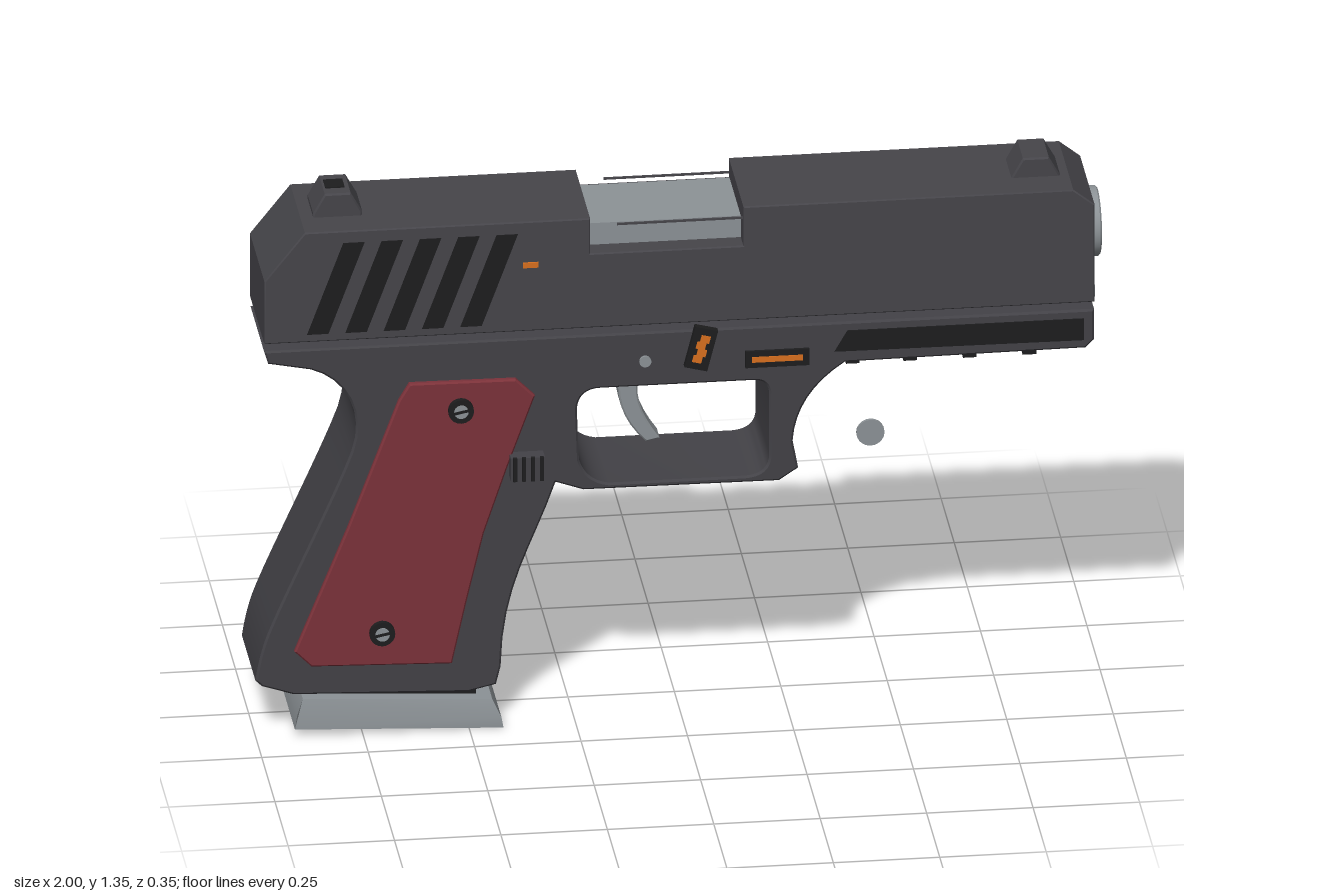
import * as THREE from 'three';
import { toCreasedNormals } from 'three/addons/utils/BufferGeometryUtils.js';

const mat = (name, color) => {
  const m = new THREE.MeshStandardMaterial({ color });
  m.name = name;
  return m;
};

export function createModel() {
  const root = new THREE.Group();
  const slideGrey = mat('slide grey', 0x46454a);
  const frameGrey = mat('frame grey', 0x434247);
  const red = mat('grip red', 0x7c323a);
  const steel = mat('light steel', 0x8d9397);
  const black = mat('black', 0x1d1d1e);
  const orange = mat('orange', 0xd8701e);

  const add = (name, geo, material, x = 0, y = 0, z = 0) => {
    const mesh = new THREE.Mesh(geo, material);
    mesh.name = name;
    mesh.position.set(x, y, z);
    root.add(mesh);
    return mesh;
  };
  const box = (name, m, w, h, d, x, y, z) => add(name, new THREE.BoxGeometry(w, h, d), m, x, y, z);
  const outline = pts => new THREE.Shape(pts.map(p => new THREE.Vector2(p[0], p[1])));
  // Side profile extruded between two z values, with an optional small bevel
  const plate = (name, m, shape, z0, z1, bevel = 0) => {
    const g = new THREE.ExtrudeGeometry(Array.isArray(shape) ? outline(shape) : shape, {
      depth: z1 - z0 - 2 * bevel, bevelEnabled: bevel > 0, bevelSize: bevel,
      bevelThickness: bevel, bevelOffset: -bevel, bevelSegments: 1, curveSegments: 8,
    });
    g.translate(0, 0, z0 + bevel);
    return add(name, toCreasedNormals(g, 0.5), m);
  };
  const disc = (name, m, r, depth, x, y, z) => {
    const mesh = add(name, new THREE.CylinderGeometry(r, r, depth, 20), m, x, y, z);
    mesh.rotation.x = Math.PI / 2;
    return mesh;
  };

  // Slide with the ejection port cut into its top
  plate('slide', slideGrey, [
    [-0.98, 1.01], [0.97, 1.01], [0.97, 1.26], [0.92, 1.3], [0.145, 1.3], [0.145, 1.2],
    [-0.215, 1.2], [-0.215, 1.29], [-0.885, 1.29], [-0.98, 1.17],
  ], -0.14, 0.14, 0.003);
  box('portWall', slideGrey, 0.36, 0.05, 0.015, -0.035, 1.225, -0.132);
  box('chamber', steel, 0.36, 0.056, 0.215, -0.035, 1.227, -0.018);
  for (const z of [-0.132, 0.125]) box('portEdge', slideGrey, 0.295, 0.005, 0.004, -0.0025, 1.266, z);

  // Sights
  const sight = (name, x0, x1) => plate(name, slideGrey,
    [[x0, 1.285], [x1, 1.285], [x1, 1.3], [x1 - 0.027, 1.348], [x0 + 0.027, 1.348], [x0, 1.3]], -0.056, 0.056, 0.004);
  sight('rearSight', -0.855, -0.74);
  sight('frontSight', 0.785, 0.9);
  box('rearSightNotch', black, 0.045, 0.006, 0.045, -0.8, 1.348, 0);

  // Rings facing forward: barrel muzzle and guide rod
  const ring = (name, inner, outer, x0, x1, y) => {
    const profile = [[inner, x0], [outer, x0], [outer, x1 - 0.004], [outer - 0.004, x1], [inner, x1], [inner, x0]];
    const g = new THREE.LatheGeometry(profile.map(p => new THREE.Vector2(...p)), 32);
    g.rotateZ(-Math.PI / 2);
    add(name, toCreasedNormals(g, 0.5), steel, 0, y, 0);
    const hole = add(name + 'Bore', new THREE.CircleGeometry(inner, 32), black, 0.973, y, 0);
    hole.rotation.y = Math.PI / 2;
  };
  ring('muzzle', 0.065, 0.083, 0.95, 0.995, 1.155);
  ring('guideRod', 0.022, 0.03, 0.96, 0.985, 0.985);

  // Frame: dust cover, trigger guard and grip in one profile
  const frame = new THREE.Shape();
  frame.moveTo(-0.98, 0.988);
  frame.lineTo(-0.97, 0.955);
  frame.lineTo(-0.87, 0.935);
  frame.bezierCurveTo(-0.79, 0.91, -0.74, 0.82, -0.775, 0.72);
  frame.bezierCurveTo(-0.81, 0.62, -0.93, 0.37, -0.965, 0.28);
  frame.quadraticCurveTo(-0.99, 0.22, -1.0, 0.145);
  frame.lineTo(-0.985, 0.13);
  frame.lineTo(-0.91, 0.105);
  frame.lineTo(-0.5, 0.09);
  frame.lineTo(-0.435, 0.105);
  frame.lineTo(-0.424, 0.15);
  frame.bezierCurveTo(-0.42, 0.36, -0.35, 0.45, -0.295, 0.615);
  frame.lineTo(-0.23, 0.592);
  frame.lineTo(0.23, 0.59);
  frame.lineTo(0.275, 0.62);
  frame.lineTo(0.262, 0.69);
  frame.quadraticCurveTo(0.27, 0.81, 0.385, 0.885);
  frame.lineTo(0.95, 0.89);
  frame.lineTo(0.97, 0.91);
  frame.lineTo(0.97, 0.988);
  const guard = new THREE.Path();
  guard.moveTo(-0.245, 0.8);
  guard.quadraticCurveTo(-0.24, 0.85, -0.19, 0.85);
  guard.lineTo(0.17, 0.85);
  guard.quadraticCurveTo(0.207, 0.85, 0.207, 0.81);
  guard.lineTo(0.207, 0.66);
  guard.quadraticCurveTo(0.207, 0.608, 0.15, 0.606);
  guard.lineTo(-0.17, 0.606);
  guard.quadraticCurveTo(-0.225, 0.615, -0.24, 0.67);
  frame.holes.push(guard);
  plate('frame', frameGrey, frame, -0.133, 0.133, 0.005);

  // Trigger
  const trigger = new THREE.Shape();
  trigger.moveTo(-0.13, 0.86);
  trigger.bezierCurveTo(-0.145, 0.78, -0.13, 0.72, -0.07, 0.66);
  trigger.lineTo(-0.038, 0.668);
  trigger.bezierCurveTo(-0.09, 0.74, -0.1, 0.79, -0.083, 0.86);
  plate('trigger', steel, trigger, -0.03, 0.03, 0.004);

  // Magazine base, narrowed towards its top
  const base = plate('magazineBase', steel,
    [[-0.91, 0.025], [-0.42, 0.003], [-0.425, 0.03], [-0.445, 0.072], [-0.89, 0.097], [-0.905, 0.06]], -0.152, 0.152);
  const bp = base.geometry.attributes.position;
  for (let i = 0; i < bp.count; i++) if (bp.getY(i) > 0.065) bp.setZ(i, bp.getZ(i) * 0.92);
  base.geometry = toCreasedNormals(base.geometry, 0.3);
  plate('magazine', black, [[-0.84, 0.08], [-0.48, 0.06], [-0.48, 0.11], [-0.84, 0.12]], -0.11, 0.11);

  // Details repeated on both sides
  for (const s of [1, -1]) {
    const sidePlate = (name, m, pts, z0, z1, bevel) =>
      s > 0 ? plate(name, m, pts, z0, z1, bevel) : plate(name, m, pts, -z1, -z0, bevel);

    // Grip panel and its slotted screws
    sidePlate('gripPanel', red, [
      [-0.87, 0.18], [-0.54, 0.17], [-0.505, 0.33], [-0.465, 0.5], [-0.41, 0.665],
      [-0.345, 0.845], [-0.39, 0.89], [-0.64, 0.892], [-0.665, 0.85], [-0.785, 0.53], [-0.91, 0.22],
    ], 0.125, 0.146, 0.004);
    for (const [x, y] of [[-0.52, 0.82], [-0.705, 0.26]]) {
      disc('screw', black, 0.03, 0.02, x, y, s * 0.149);
      disc('screwHead', steel, 0.017, 0.004, x, y, s * 0.159);
      box('screwSlot', black, 0.034, 0.007, 0.004, x, y, s * 0.16).rotation.z = 0.2;
    }

    // Ribbed magazine release
    box('magazineRelease', frameGrey, 0.08, 0.058, 0.04, -0.365, 0.67, s * 0.15);
    for (let i = 0; i < 4; i++) {
      box('releaseRib', black, 0.009, 0.06, 0.008, -0.395 + i * 0.021, 0.67, s * 0.17);
    }

    // Slanted slide serrations
    for (let i = 0; i < 5; i++) {
      const x = -0.88 + i * 0.09;
      sidePlate('serration', black, [[x, 1.03], [x + 0.05, 1.03], [x + 0.135, 1.26], [x + 0.085, 1.26]], 0.137, 0.142);
    }

    // Rail inlay, accent plate and trigger pin
    sidePlate('railInlay', black, [[0.36, 0.915], [0.945, 0.912], [0.945, 0.967], [0.39, 0.967]], 0.13, 0.136);
    box('accentPlate', black, 0.15, 0.042, 0.01, 0.225, 0.907, s * 0.135);
    box('accentStripe', orange, 0.12, 0.014, 0.006, 0.225, 0.907, s * 0.139);
    disc('triggerPin', steel, 0.014, 0.012, -0.085, 0.915, s * 0.133);
  }

  // Rail teeth under the dust cover
  for (const x of [0.405, 0.54, 0.68, 0.82]) box('railTooth', black, 0.032, 0.022, 0.23, x, 0.884, 0);

  // Left-face marks: slide indicator and takedown lever
  box('slideIndicator', orange, 0.036, 0.013, 0.008, -0.355, 1.18, 0.141);
  const lever = new THREE.Group();
  lever.name = 'takedownLever';
  lever.position.set(0.045, 0.945, 0.14);
  lever.rotation.z = -0.25;
  lever.add(box('leverPlate', black, 0.055, 0.105, 0.018, 0, 0, 0));
  for (let i = 0; i < 4; i++) {
    lever.add(box('leverMark', orange, 0.022, 0.018, 0.005, i % 2 ? 0.003 : -0.003, -0.026 + i * 0.0175, 0.009));
  }
  root.add(lever);

  // Right-face controls: slide stop and safety
  plate('slideStop', frameGrey,
    [[-0.08, 0.925], [0.03, 0.93], [0.25, 0.945], [0.31, 0.965], [0.31, 0.985], [-0.06, 0.98], [-0.08, 0.965]], -0.152, -0.13, 0.003);
  plate('safetyLever', frameGrey,
    [[-0.8, 0.945], [-0.75, 0.93], [-0.62, 0.94], [-0.59, 0.96], [-0.6, 0.975], [-0.78, 0.975]], -0.15, -0.13, 0.003);
  disc('safetyPin', steel, 0.02, 0.03, -0.765, 0.955, -0.147);

  // Loose disc ahead of the guard
  disc('looseDisc', steel, 0.033, 0.008, 0.475, 0.588, -0.118);

  return root;
}
